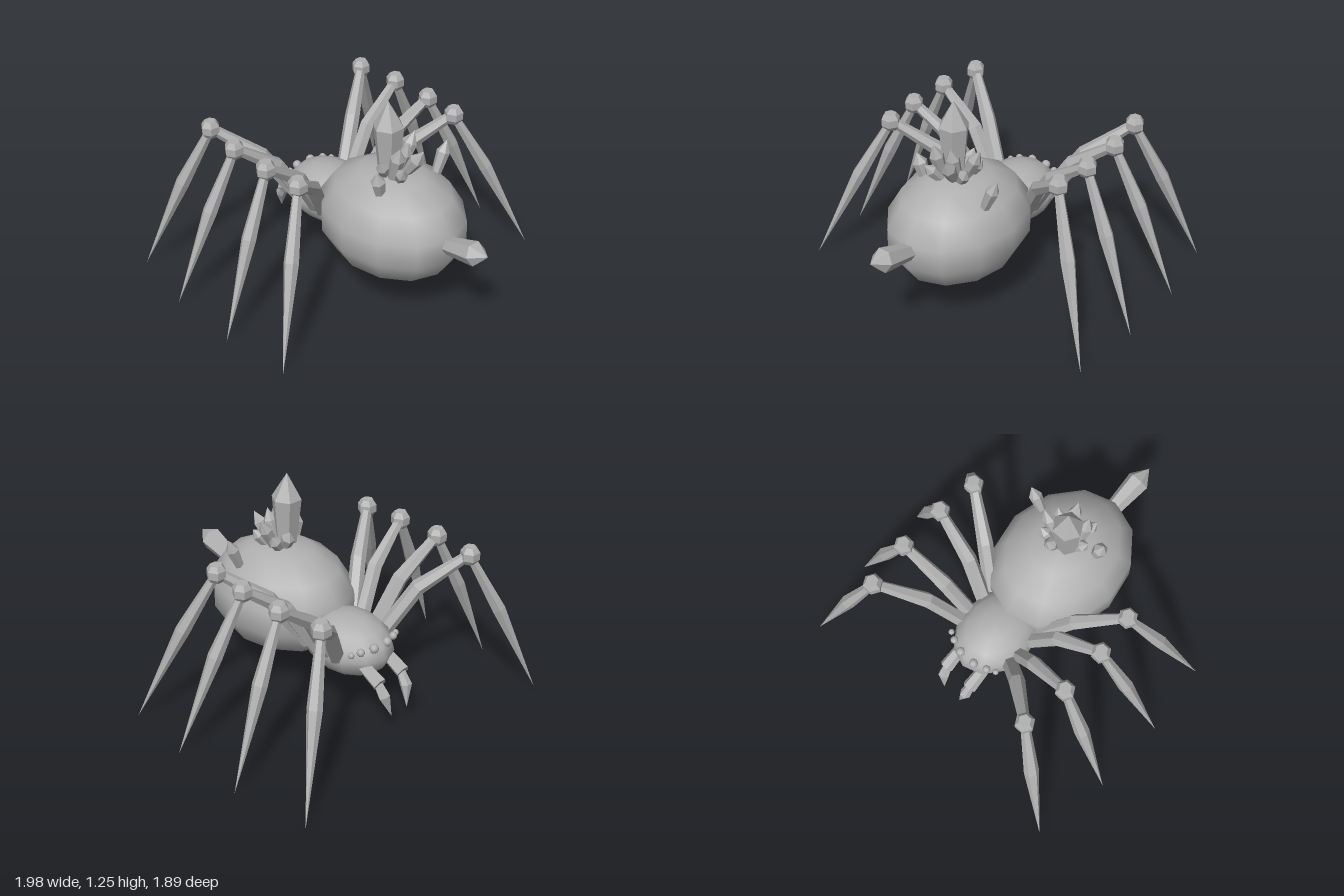
import * as THREE from 'three';

const stone = new THREE.MeshStandardMaterial({ color: 0xb0b0b0 });
stone.name = 'stoneGrey';

// Faceted rod through points [x, y, z, radius]; an end radius of 0 makes a sharp tip
function rod(points, sides) {
  const p = points.map(([x, y, z]) => new THREE.Vector3(x, y, z));
  const last = p.length - 1;
  const axis = p[last].clone().sub(p[0]).normalize();
  const ref = Math.abs(axis.y) > 0.8 ? new THREE.Vector3(0, 0, 1) : new THREE.Vector3(0, 1, 0);
  const rings = p.map((c, i) => {
    const t = p[Math.min(i + 1, last)].clone().sub(p[Math.max(i - 1, 0)]).normalize();
    const u = ref.clone().cross(t).normalize();
    const v = t.clone().cross(u);
    return Array.from({ length: sides }, (_, j) => {
      const a = (j / sides) * Math.PI * 2;
      return c.clone()
        .addScaledVector(u, Math.cos(a) * points[i][3])
        .addScaledVector(v, Math.sin(a) * points[i][3]);
    });
  });
  const tri = [];
  for (let j = 0; j < sides; j++) {
    const k = (j + 1) % sides;
    for (let i = 0; i < last; i++) {
      const a = rings[i][j], b = rings[i][k], c = rings[i + 1][k], d = rings[i + 1][j];
      if (points[i][3] > 0) tri.push(a, b, c);
      if (points[i + 1][3] > 0) tri.push(a, c, d);
      if (points[i][3] === 0) continue;
      if (points[i + 1][3] === 0) tri.splice(-3, 3, a, b, p[i + 1]);
    }
    if (points[0][3] > 0) tri.push(p[0], rings[0][k], rings[0][j]);
    if (points[last][3] > 0) tri.push(p[last], rings[last][j], rings[last][k]);
  }
  const g = new THREE.BufferGeometry().setFromPoints(tri);
  g.computeVertexNormals();
  return g;
}

// Crystal: widening shaft with a pointed end
function crystal(base, tip, r, shoulder = 0.68, sides = 6) {
  const at = (f) => base.map((b, i) => b + (tip[i] - b) * f);
  return rod([[...base, r * 0.65], [...at(shoulder), r], [...tip, 0]], sides);
}

export function createModel() {
  const model = new THREE.Group();
  model.name = 'crystalSpider';
  const add = (name, geometry, parent = model) => {
    const m = new THREE.Mesh(geometry, stone);
    m.name = name;
    parent.add(m);
    return m;
  };

  // Body
  const abdomen = add('abdomen', new THREE.SphereGeometry(1, 12, 7));
  abdomen.scale.set(0.378, 0.325, 0.47);
  abdomen.position.set(0, 0.515, 0.21);
  const head = add('head', new THREE.SphereGeometry(1, 12, 8));
  head.scale.set(0.22, 0.17, 0.28);
  head.position.set(0, 0.43, -0.33);

  // Legs: knee, foot tip, hip and mid-thigh depth for each pair
  const legs = [
    { name: 'firstLeg', knee: [0.56, -0.69], foot: [0.91, -0.95], hip: -0.41, mid: -0.52 },
    { name: 'secondLeg', knee: [0.595, -0.42], foot: [0.99, -0.5], hip: -0.35, mid: -0.385 },
    { name: 'thirdLeg', knee: [0.595, -0.14], foot: [0.99, -0.04], hip: -0.25, mid: -0.19 },
    { name: 'fourthLeg', knee: [0.57, 0.1], foot: [0.94, 0.39], hip: -0.19, mid: -0.06 },
  ];
  for (const s of [1, -1]) {
    const side = s > 0 ? 'left' : 'right';
    for (const { name, knee: [kx, kz], foot: [fx, fz], hip, mid } of legs) {
      const leg = new THREE.Group();
      leg.name = `${side}_${name}`;
      model.add(leg);
      add('thigh', rod([
        [s * 0.17, 0.43, hip, 0.045],
        [s * 0.34, 0.71, mid, 0.045],
        [s * kx, 0.9, kz, 0.028],
      ], 6), leg);
      add('knee', rod([
        [s * kx, 0.848, kz, 0.035],
        [s * kx, 0.875, kz, 0.055],
        [s * kx, 0.918, kz, 0.055],
        [s * kx, 0.948, kz, 0.035],
      ], 6), leg);
      const f = 0.42;
      add('shin', rod([
        [s * kx, 0.89, kz, 0.025],
        [s * (kx + (fx - kx) * f), 0.89 * (1 - f) + 0.03, kz + (fz - kz) * f, 0.042],
        [s * fx, 0, fz, 0],
      ], 6), leg);
    }

    // Jaw with a curved fang
    add(`${side}_jaw`, rod([
      [s * 0.09, 0.4, -0.52, 0.035],
      [s * 0.09, 0.335, -0.66, 0.042],
    ], 6));
    add(`${side}_fang`, rod([
      [s * 0.09, 0.34, -0.64, 0.025],
      [s * 0.085, 0.27, -0.69, 0.034],
      [s * 0.06, 0.15, -0.725, 0],
    ], 6));

    // Eyes
    [[0.05, 0.505, -0.57, 0.027], [0.125, 0.5, -0.545, 0.023], [0.172, 0.49, -0.52, 0.018]]
      .forEach(([x, y, z, r]) => {
        add(`${side}_eye`, new THREE.SphereGeometry(r, 8, 6)).position.set(s * x, y, z);
      });
  }

  // Large crystals on the back and tail
  add('mainCrystal', crystal([-0.03, 0.78, 0.21], [-0.035, 1.25, 0.205], 0.087));
  add('tailCrystal', crystal([0, 0.53, 0.6], [-0.01, 0.63, 0.945], 0.068, 0.74));
  add('leftCrystal', crystal([0.23, 0.71, 0.3], [0.32, 0.92, 0.3], 0.038));
  add('rightCrystal', crystal([-0.16, 0.74, 0.29], [-0.21, 0.92, 0.31], 0.042));

  // Cluster of small crystals around the main one
  [
    [[0.02, 0.8, 0.27], [0.05, 0.98, 0.39], 0.04],
    [[-0.06, 0.8, 0.27], [-0.07, 1.03, 0.34], 0.042],
    [[0.02, 0.8, 0.24], [0.02, 1.02, 0.31], 0.04],
    [[0.04, 0.8, 0.22], [0.15, 1.01, 0.22], 0.04],
    [[0.05, 0.8, 0.27], [0.13, 0.92, 0.31], 0.035],
    [[-0.06, 0.8, 0.22], [-0.14, 0.93, 0.26], 0.035],
    [[-0.04, 0.8, 0.3], [-0.09, 0.92, 0.39], 0.035],
    [[0.01, 0.8, 0.18], [0.03, 0.94, 0.11], 0.04],
    [[0.04, 0.8, 0.18], [0.12, 0.92, 0.16], 0.035],
  ].forEach(([base, tip, r]) => add('smallCrystal', crystal(base, tip, r)));

  return model;
}
